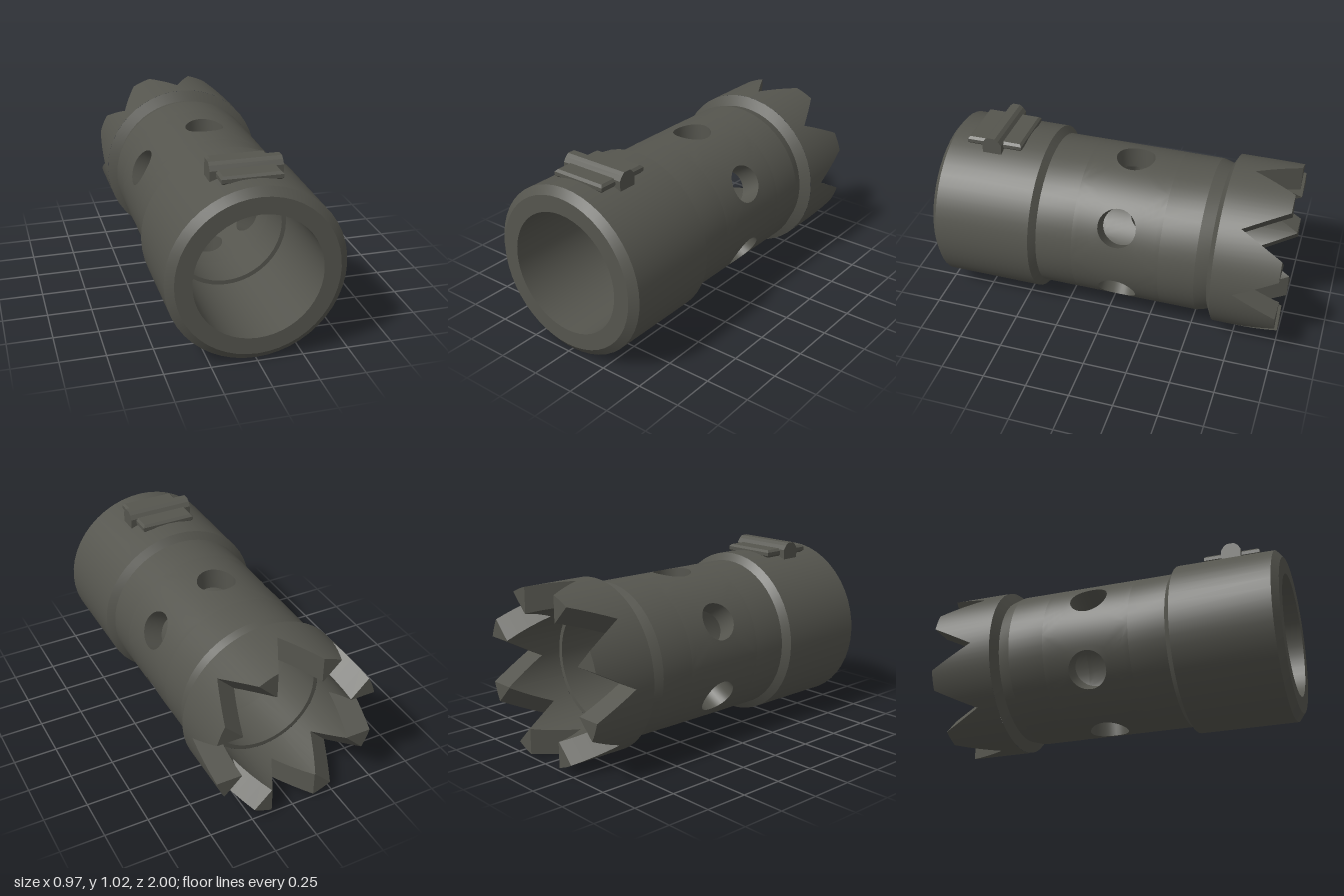
import * as THREE from 'three';
import { toCreasedNormals } from 'three/addons/utils/BufferGeometryUtils.js';

const AXIS_Y = 0.486;
const R = 0.484, WAIST = 0.443, BORE = 0.347, LIP = 0.322;
const HOLE_Z = -0.085, HOLE_R = 0.109, PATCH = 0.25;
const SHOULDER_Z = -0.64, NOTCH_Z = -0.76, NOTCH_W = 0.131;

// Point on a cylinder round the z axis; angle 0 is straight up.
const polar = (r, a, z) => [r * Math.sin(a), r * Math.cos(a), z];

// Adds a grid of quads f(i, j); it faces along (change in i) x (change in j).
function grid(out, f, ni, nj) {
  for (let i = 0; i < ni; i++) {
    for (let j = 0; j < nj; j++) {
      const a = f(i, j), b = f(i + 1, j), c = f(i + 1, j + 1), d = f(i, j + 1);
      out.push(...a, ...b, ...c, ...a, ...c, ...d);
    }
  }
}

function creased(geometry) {
  return toCreasedNormals(geometry, 0.22);
}

function fromTriangles(positions) {
  const g = new THREE.BufferGeometry();
  g.setAttribute('position', new THREE.Float32BufferAttribute(positions, 3));
  return creased(g);
}

// Profile of [radius, z] turned round the z axis.
function turned(profile) {
  const g = new THREE.LatheGeometry(profile.map(([r, z]) => new THREE.Vector2(r, z)), 48);
  return creased(g.rotateX(Math.PI / 2));
}

// Waist wall with six round radial holes.
function drilledWall() {
  const out = [], n = 32, steps = 5;
  const square = (j) => {
    const q = ((j % 8) / 8) * 2 - 1;
    return [[1, q], [-q, 1], [-1, -q], [q, -1]][Math.floor(j / 8) % 4];
  };
  for (let k = 0; k < 6; k++) {
    const mid = (k * Math.PI) / 3;
    const at = (r, s, j) => {
      const a = -Math.PI / 4 + (j / n) * Math.PI * 2;
      const hole = Math.asin((HOLE_R * Math.cos(a)) / r);
      const [sx, sz] = square(j);
      const th = hole * (1 - s) + ((sx * Math.PI) / 6) * s;
      const z = HOLE_R * Math.sin(a) * (1 - s) + sz * PATCH * s;
      return polar(r, mid + th, HOLE_Z + z);
    };
    grid(out, (i, j) => at(WAIST, i / steps, n - j), steps, n);
    grid(out, (i, j) => at(LIP, i / steps, j), steps, n);
    grid(out, (i, j) => at(i ? LIP : WAIST, 0, j), 1, n);
  }
  return fromTriangles(out);
}

// Crown of eight teeth separated by straight V notches.
function toothedCrown() {
  const out = [], side = 4, n = side * 3, pitch = Math.PI / 4;
  for (let k = 0; k < 8; k++) {
    const rim = (r, j) => {
      const corner = Math.asin(NOTCH_W / r);
      const edge = Math.min(j, n - j);
      if (edge >= side) {
        return [corner + ((pitch - 2 * corner) * (j - side)) / side, -1];
      }
      const t = edge / side, a = Math.asin((NOTCH_W * t) / r);
      return [j < side ? a : pitch - a, NOTCH_Z + (-1 - NOTCH_Z) * t];
    };
    const at = (r, j, atRim) => {
      const [a, z] = rim(r, j);
      return polar(r, k * pitch + a, atRim ? z : SHOULDER_Z);
    };
    grid(out, (i, j) => at(R, j, i === 0), 1, n);
    grid(out, (i, j) => at(BORE, j, i === 1), 1, n);
    grid(out, (i, j) => at(i ? R : BORE, j, true), 1, n);
  }
  return fromTriangles(out);
}

// Faceted bar lying across the collar.
function crossBar() {
  const half = [[0.055, 0.92], [0.057, 0.985], [0.04, 1.01], [0.022, 1.025]];
  const pts = [...half, ...half.map(([z, y]) => [-z, y]).reverse()];
  const shape = new THREE.Shape(pts.map(([z, y]) => new THREE.Vector2(z, y)));
  const g = new THREE.ExtrudeGeometry(shape, { depth: 0.39, bevelEnabled: false });
  return g.translate(0, 0, -0.195).rotateY(Math.PI / 2).translate(0, 0, 0.705);
}

// Low plate with chamfered edges under the bar.
function basePlate() {
  const b = 0.013, w = 0.163 - b, d = 0.162 - b;
  const shape = new THREE.Shape([[-w, -d], [w, -d], [w, d], [-w, d]]
    .map(([x, y]) => new THREE.Vector2(x, y)));
  const g = new THREE.ExtrudeGeometry(shape, {
    depth: 0.02, bevelSize: b, bevelThickness: b, bevelSegments: 1,
  });
  return g.rotateX(-Math.PI / 2).translate(0, 0.957, 0.702);
}

export function createModel() {
  const model = new THREE.Group();
  model.name = 'toothedSleeve';
  const metal = new THREE.MeshStandardMaterial({ color: 0x55554e });
  metal.name = 'darkGreyMetal';

  const add = (name, geometry, y = 0) => {
    const mesh = new THREE.Mesh(geometry, metal);
    mesh.name = name;
    mesh.position.y = y;
    model.add(mesh);
  };

  const front = HOLE_Z + PATCH, back = HOLE_Z - PATCH;

  // Front collar with chamfered rim and stepped bore
  add('frontCollar', turned([
    [WAIST, front], [WAIST, 0.375], [R, 0.408], [R, 0.965], [0.44, 1],
    [BORE, 1], [BORE, 0.4], [LIP, 0.4], [LIP, front],
  ]), AXIS_Y);

  add('drilledWaist', drilledWall(), AXIS_Y);

  // Rear of the waist: undercut shoulder outside, step inside
  add('rearShoulder', turned([
    [R, SHOULDER_Z], [0.424, -0.608], [WAIST, -0.54], [WAIST, back],
  ]), AXIS_Y);
  add('rearBoreStep', turned([
    [LIP, back], [LIP, SHOULDER_Z], [BORE, SHOULDER_Z],
  ]), AXIS_Y);

  add('toothedCrown', toothedCrown(), AXIS_Y);

  // Rail on top of the collar
  add('railPlate', basePlate());
  add('railBar', crossBar());

  return model;
}
